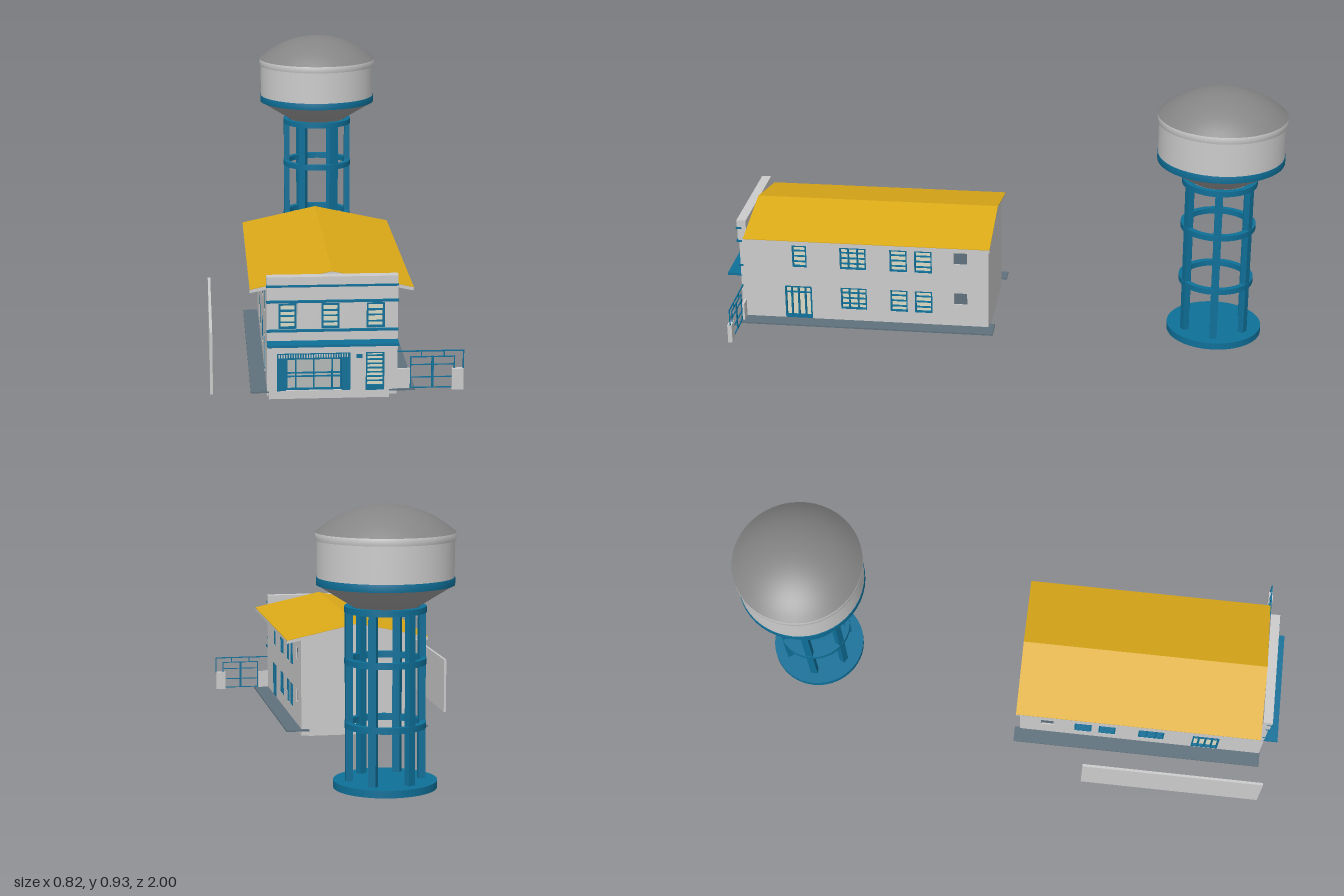
import * as THREE from 'three';

const mat = (color, side = THREE.FrontSide) => new THREE.MeshStandardMaterial({ color, side });
const GREY = mat(0xcccccc), BLUE = mat(0x0f7099), YELLOW = mat(0xdcaa18), SLATE = mat(0x5f717d);
const CREAM = mat(0xdcdcc6), DOME = mat(0x858585), PANE = mat(0xb4bab8);
const CX = -0.0175, HALF = 0.21; // building centre and half width

function add(parent, name, geometry, material) {
  const mesh = new THREE.Mesh(geometry, material);
  mesh.name = name;
  parent.add(mesh);
  return mesh;
}

// Box given by its limits on each axis
function box(parent, name, material, x0, x1, y0, y1, z0, z1) {
  const m = add(parent, name, new THREE.BoxGeometry(x1 - x0, y1 - y0, z1 - z0), material);
  m.position.set((x0 + x1) / 2, (y0 + y1) / 2, (z0 + z1) / 2);
  return m;
}

function group(parent, name) {
  const g = new THREE.Group();
  g.name = name;
  parent.add(g);
  return g;
}

// Rectangular wall with rectangular holes [x0, x1, y0, y1]; its outer face is at z = 0
function wall(parent, name, [x0, x1, y0, y1], holes, depth) {
  const rect = (P, a, b, c, d) => new P([[a, c], [b, c], [b, d], [a, d]].map(p => new THREE.Vector2(...p)));
  const shape = rect(THREE.Shape, x0, x1, y0, y1);
  shape.holes = holes.map(h => rect(THREE.Path, ...h));
  const m = add(parent, name, new THREE.ExtrudeGeometry(shape, { depth, bevelEnabled: false }), GREY);
  m.position.z = -depth;
  return m;
}

// Framed pane facing +z; cols and rows are fractions where bars go
function framedPane(parent, name, [x0, x1, y0, y1], cols, rows, glass = CREAM, t = 0.005, z = 0) {
  const g = group(parent, name);
  box(g, 'pane', glass, x0, x1, y0, y1, z - 0.012, z - 0.008);
  const bar = (a, b, c, d) => box(g, 'bar', BLUE, a, b, c, d, z - 0.01, z + 0.001);
  bar(x0, x0 + t, y0, y1);
  bar(x1 - t, x1, y0, y1);
  bar(x0, x1, y0, y0 + t);
  bar(x0, x1, y1 - t, y1);
  for (const f of cols) { const x = x0 + f * (x1 - x0); bar(x - t / 2, x + t / 2, y0, y1); }
  for (const f of rows) { const y = y0 + f * (y1 - y0); bar(x0, x1, y - 0.0015, y + 0.0015); }
  return g;
}

function waterTower() {
  const g = new THREE.Group();
  g.name = 'waterTower';
  const lathe = (name, pts, material) =>
    add(g, name, new THREE.LatheGeometry(pts.map(p => new THREE.Vector2(...p)), 48), material);
  const base = add(g, 'towerBase', new THREE.CylinderGeometry(0.171, 0.171, 0.025, 48), BLUE);
  base.position.y = 0.0125;
  // Six legs on a circle
  for (let i = 0; i < 6; i++) {
    const a = i * Math.PI / 3;
    const leg = add(g, 'towerLeg', new THREE.BoxGeometry(0.022, 0.58, 0.026), BLUE);
    leg.position.set(0.121 * Math.cos(a), 0.31, 0.121 * Math.sin(a));
    leg.rotation.y = -a;
  }
  // Flat ring braces
  for (const y of [0.2, 0.41, 0.58]) {
    const ring = new THREE.Shape().absarc(0, 0, 0.134, 0, Math.PI * 2);
    ring.holes.push(new THREE.Path().absarc(0, 0, 0.114, 0, Math.PI * 2));
    const m = add(g, 'ringBrace', new THREE.ExtrudeGeometry(ring, { depth: 0.02, bevelEnabled: false, curveSegments: 24 }), BLUE);
    m.rotation.x = -Math.PI / 2;
    m.position.y = y;
  }
  // Tank
  lathe('tankFunnel', [[0, 0.597], [0.105, 0.597], [0.224, 0.671]], mat(0xa0a0a0, THREE.DoubleSide));
  lathe('tankBand', [[0.222, 0.67], [0.2255, 0.67], [0.2255, 0.695], [0.222, 0.695]], BLUE);
  lathe('tankWall', [[0.2235, 0.69], [0.2235, 0.82]], GREY);
  lathe('tankRim', [[0.222, 0.816], [0.2285, 0.816], [0.2285, 0.84], [0.222, 0.843]], GREY);
  const R = (0.2285 ** 2 + 0.09 ** 2) / 0.18, a0 = Math.asin(0.2285 / R), dome = [];
  for (let i = 0; i <= 10; i++) {
    const a = a0 * (1 - i / 10);
    dome.push([R * Math.sin(a), 0.93 - R + R * Math.cos(a)]);
  }
  lathe('tankDome', dome, DOME);
  g.position.set(0.04, 0, -0.772);
  return g;
}

function sideWall(parent, s) {
  const g = group(parent, s > 0 ? 'leftSideWall' : 'rightSideWall');
  g.rotation.y = s * Math.PI / 2;
  g.position.x = CX + s * HALF;
  const u = (za, zb, y0, y1) => [Math.min(-s * za, -s * zb), Math.max(-s * za, -s * zb), y0, y1];
  const windows = [u(0.705, 0.758, 0.24, 0.325)];
  for (const y of [0.08, 0.24])
    for (const [a, b] of [[0.487, 0.583], [0.337, 0.4], [0.246, 0.31]]) windows.push(u(a, b, y, y + 0.085));
  const vents = [u(0.118, 0.166, 0.12, 0.165), u(0.118, 0.166, 0.28, 0.325)];
  const door = u(0.69, 0.79, 0.035, 0.163);
  wall(g, 'wall', u(0.04, 0.925, 0.01, 0.366), [...windows, ...vents, door], 0.015);
  for (const w of windows)
    framedPane(g, 'sideWindow', w, w[1] - w[0] > 0.08 ? [0.33, 0.67] : [], [0.25, 0.5, 0.75], CREAM, 0.005, -0.002);
  for (const v of vents) box(g, 'vent', SLATE, ...v, -0.014, -0.005);
  framedPane(g, 'sideDoor', door, [0.25, 0.5, 0.75], [0.08, 0.8], CREAM, 0.006, -0.002);
}

function facade(parent) {
  const g = group(parent, 'facade');
  g.position.z = 0.95;
  const L = CX - HALF, R = CX + HALF;
  const upper = [[-0.19, -0.132], [-0.053, 0.005], [0.092, 0.15]].map(x => [...x, 0.243, 0.326]);
  const shop = [-0.195, 0.04, 0.035, 0.16], door = [0.09, 0.15, 0.03, 0.16];
  wall(g, 'frontWall', [L, R, 0.03, 0.415], [...upper, shop, door], 0.027);
  box(g, 'parapet', GREY, L, R, 0.34, 0.382, 0, 0.005);
  box(g, 'parapetCap', GREY, L, R, 0.388, 0.415, 0, 0.007);
  // Horizontal trim and the projecting canopy
  for (const y of [0.234, 0.33, 0.382]) box(g, 'trimBand', BLUE, L - 0.001, R + 0.001, y, y + 0.007, -0.01, 0.01);
  box(g, 'canopy', BLUE, L, R, 0.195, 0.203, -0.005, 0.05);
  // Panels beside the upper windows
  for (const [a, b] of [[-0.13, -0.094], [-0.091, -0.055], [0.007, 0.047], [0.05, 0.09]])
    box(g, 'wallPanel', GREY, a, b, 0.242, 0.329, -0.004, 0.002);
  for (const w of upper) framedPane(g, 'upperWindow', w, [], [0.25, 0.5, 0.7, 0.72], CREAM, 0.006);
  // Shop front
  for (const [a, b] of [[-0.195, -0.167], [0.013, 0.04]]) box(g, 'shopPillar', BLUE, a, b, 0.035, 0.142, -0.02, 0.002);
  box(g, 'shopHeader', BLUE, -0.195, 0.04, 0.142, 0.16, -0.02, 0.002);
  for (let i = 0; i < 28; i++) {
    const x = -0.19 + i * 0.0081;
    box(g, 'headerSlat', GREY, x, x + 0.004, 0.146, 0.157, 0, 0.004);
  }
  framedPane(g, 'shopWindow', [-0.167, 0.013, 0.035, 0.142], [0.18, 0.5, 0.83], [0.42, 0.53], PANE, 0.005, -0.008);
  // Entrance with slatted door
  framedPane(g, 'entranceDoor', door, [], [0.25, 0.36, 0.47, 0.58, 0.69, 0.8, 0.9], CREAM, 0.005, -0.004);
  box(g, 'doorPlinth', BLUE, 0.09, 0.15, 0.03, 0.048, -0.02, -0.002);
  // Notice board
  box(g, 'noticeBoard', GREY, 0.055, 0.083, 0.128, 0.16, 0, 0.004);
  box(g, 'noticePanel', BLUE, 0.059, 0.079, 0.143, 0.156, 0, 0.005);
}

function gate(parent) {
  const g = group(parent, 'gate');
  const bar = (a, b, c, d) => box(g, 'gateBar', BLUE, a, b, c, d, 0.943, 0.947);
  box(g, 'gatePillar', GREY, 0.193, 0.233, 0.03, 0.1, 0.935, 0.945);
  box(g, 'gatePillar', GREY, 0.368, 0.406, 0.03, 0.1, 0.94, 0.956);
  bar(0.193, 0.408, 0.157, 0.161);
  bar(0.404, 0.408, 0.1, 0.16);
  for (const x of [0.233, 0.306]) { // two leaves
    bar(x, x + 0.004, 0.035, 0.142);
    bar(x + 0.069, x + 0.073, 0.035, 0.142);
    for (const y of [0.035, 0.07, 0.112, 0.138]) bar(x, x + 0.073, y, y + 0.003);
    bar(x + 0.035, x + 0.039, 0.138, 0.158);
  }
}

function building() {
  const g = new THREE.Group();
  g.name = 'building';
  const prism = (name, pts, z0, z1, material) => {
    const shape = new THREE.Shape(pts.map(p => new THREE.Vector2(...p)));
    add(g, name, new THREE.ExtrudeGeometry(shape, { depth: z1 - z0, bevelEnabled: false }), material).position.z = z0;
  };
  // Core with gable ends, set inside the pierced side walls
  const h = HALF - 0.014;
  prism('bodyCore', [[CX - h, 0.01], [CX + h, 0.01], [CX + h, 0.368], [CX, 0.412], [CX - h, 0.368]], 0.04, 0.925, GREY);
  box(g, 'foundation', GREY, -0.222, 0.165, 0.008, 0.032, 0.042, 0.95);
  // Pitched roof: grey slab with yellow covering
  const e = 0.2625;
  const chevron = (lo, hi) => [[CX - e, 0.368 + lo], [CX, 0.425 + lo], [CX + e, 0.368 + lo],
    [CX + e, 0.368 + hi], [CX, 0.425 + hi], [CX - e, 0.368 + hi]];
  prism('roofSlab', chevron(-0.013, -0.002), 0.03, 0.923, GREY);
  prism('roofCovering', chevron(-0.002, 0), 0.03, 0.923, YELLOW);
  for (const s of [1, -1]) sideWall(g, s);
  facade(g);
  // Pavement strips along both sides
  box(g, 'pavement', SLATE, -0.28, -0.222, 0.03, 0.035, 0.02, 0.953);
  box(g, 'pavement', SLATE, 0.165, 0.25, 0.03, 0.035, 0.02, 0.953);
  return g;
}

export function createModel() {
  const model = new THREE.Group();
  model.name = 'buildingAndWaterTower';
  model.add(waterTower(), building());
  gate(model);
  box(model, 'boundaryWall', GREY, -0.41, -0.401, 0.03, 0.235, 0.29, 0.955);
  return model;
}
